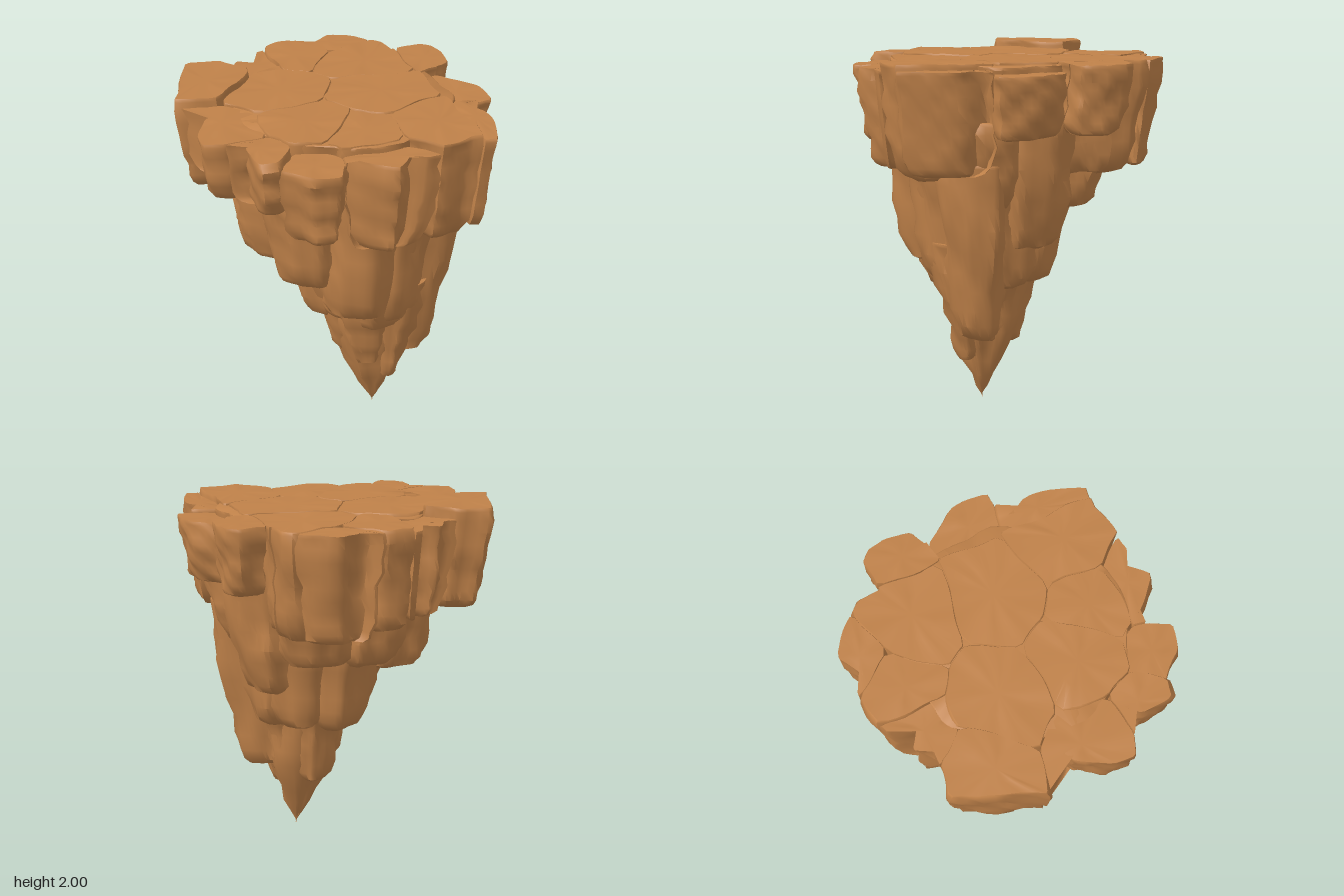
import * as THREE from 'three';
import { mergeVertices, toCreasedNormals } from 'three/addons/utils/BufferGeometryUtils.js';

const stone = new THREE.MeshStandardMaterial({ color: 0xbf8149 });
stone.name = 'brown stone';

// Smooth lumpiness as a function of position
const lump = (x, y, z) =>
  0.012 * Math.sin(9 * x + 5 * y + 2) * Math.sin(8 * z - 6 * y + 1) +
  0.009 * Math.sin(21 * x - 13 * y) * Math.cos(19 * z + 17 * y) +
  0.004 * Math.sin(43 * y + 31 * x - 37 * z);

// Cut the corners of an outline slightly, divide its edges and make them wavy
function refine(points) {
  const cut = [], out = [];
  points.forEach((p, i) => {
    const q = points[(i + 1) % points.length];
    for (const t of [0.1, 0.9]) cut.push([p[0] + (q[0] - p[0]) * t, p[1] + (q[1] - p[1]) * t]);
  });
  cut.forEach((p, i) => {
    const q = cut[(i + 1) % cut.length];
    const n = Math.max(1, Math.round(Math.hypot(q[0] - p[0], q[1] - p[1]) / 0.04));
    for (let k = 0; k < n; k++) {
      const x = p[0] + (q[0] - p[0]) * k / n, z = p[1] + (q[1] - p[1]) * k / n;
      out.push([x + 0.01 * Math.sin(19 * z), z + 0.01 * Math.sin(17 * x)]);
    }
  });
  return out;
}

// A boulder: an outline lofted downward, leaning toward the axis and tapering
function boulder(name, points, top, bottom, { lean = 0.13, taper = 0.08, axis = [0, 0], tip = null } = {}) {
  const ring = refine(points);
  const n = ring.length, h = top - bottom;
  const cx = ring.reduce((s, p) => s + p[0], 0) / n;
  const cz = ring.reduce((s, p) => s + p[1], 0) / n;
  // [depth, scale] from the top centre round to the bottom centre
  const rows = [[0, 0], [0, 0.5], [0, 0.98], [0.005, 0.993], [0.02, 1]];
  for (const [t, s] of [[0.12, 1.01], [0.24, 1.01], [0.36, 1.01], [0.48, 1], [0.6, 1], [0.71, 0.99], [0.82, 0.97], [0.91, 0.92], [0.97, 0.82], [1, 0.6], [1, 0]])
    rows.push([t * h, s * (1 - taper * t ** 1.5)]);
  const pos = [], index = [];
  rows.forEach(([d, s], r) => {
    const y = top - d, f = 1 - lean * d;
    ring.forEach((p, i) => {
      const dx = p[0] - cx, dz = p[1] - cz, len = Math.hypot(dx, dz);
      let x = axis[0] + (cx + dx * s - axis[0]) * f;
      let z = axis[1] + (cz + dz * s - axis[1]) * f;
      if (tip) { // draw the lower rows toward one point
        const k = (d / h) ** 1.9;
        x += (tip[0] - x) * k;
        z += (tip[1] - z) * k;
      }
      const e = s > 0 ? 1.6 * lump(x, y, z) * Math.min(1, d / 0.05) : 0;
      const dip = r > 0 && d < 0.1 ? lump(x * 1.5, 1, z * 1.5) * 0.3 - 0.003 : 0;
      pos.push(x + e * dx / len, y + dip, z + e * dz / len);
      if (r === 0) return;
      const j = (i + 1) % n, a = (r - 1) * n, b = r * n;
      if (r > 1) index.push(a + i, a + j, b + i);
      if (r < rows.length - 1) index.push(a + j, b + j, b + i);
    });
  });
  const geometry = new THREE.BufferGeometry();
  geometry.setAttribute('position', new THREE.Float32BufferAttribute(pos, 3));
  geometry.setIndex(index);
  const mesh = new THREE.Mesh(toCreasedNormals(mergeVertices(geometry, 1e-4), 0.75), stone);
  mesh.name = name;
  return mesh;
}

// Blocky outline around the axis: direction in degrees (90 is front), reach and half width
function sector(angle, reach, half, [ax, az]) {
  const a = angle * Math.PI / 180, c = Math.cos(a), s = Math.sin(a);
  const inner = Math.min(0, reach - 0.4);
  return [[inner, -0.7], [reach * 0.62, -1], [reach * 0.92, -0.75], [reach, -0.1],
    [reach * 0.95, 0.65], [reach * 0.64, 1], [inner, 0.75]]
    .map(([u, v]) => [ax + u * c - v * half * s, az + u * s + v * half * c]);
}

function circle(cx, cz, r, n) {
  return Array.from({ length: n }, (_, i) => {
    const a = i / n * Math.PI * 2;
    return [cx + r * Math.cos(a), cz + r * Math.sin(a)];
  });
}

// The part of an outline that lies nearer to seed a than to seed b
function nearer(outline, a, b) {
  const side = ([x, z]) => Math.hypot(x - b.x, z - b.z) ** 2 - Math.hypot(x - a.x, z - a.z) ** 2;
  const out = [];
  outline.forEach((p, i) => {
    const q = outline[(i + 1) % outline.length], sp = side(p), sq = side(q);
    if (sp >= 0) out.push(p);
    if (sp * sq < 0) {
      const t = sp / (sp - sq);
      out.push([p[0] + (q[0] - p[0]) * t, p[1] + (q[1] - p[1]) * t]);
    }
  });
  return out;
}

// Rim of the flat top
const rim = [[0.9, -0.17], [0.89, -0.07], [0.79, 0.05], [0.68, 0.07], [0.76, 0.3], [0.67, 0.53], [0.48, 0.46],
  [0.5, 0.62], [0.29, 0.91], [0.15, 0.82], [0, 0.81], [-0.13, 0.78], [-0.18, 0.69], [-0.33, 0.74], [-0.42, 0.49],
  [-0.57, 0.6], [-0.7, 0.5], [-0.76, 0.34], [-0.84, 0.28], [-0.8, 0.1], [-0.7, 0.05], [-0.83, 0], [-0.91, -0.1],
  [-0.87, -0.2], [-0.7, -0.34], [-0.62, -0.35], [-0.73, -0.57], [-0.5, -0.76], [-0.37, -0.91], [-0.12, -0.76],
  [-0.04, -0.83], [0.05, -0.73], [0.12, -0.86], [0.39, -0.8], [0.42, -0.72], [0.61, -0.72], [0.75, -0.42],
  [0.69, -0.29], [0.86, -0.25]];

// The top splits into slabs, one around each seed
const slabs = [
  { name: 'backLeftInnerSlab', x: -0.18, z: -0.33, top: 1.965, bottom: 1.4 },
  { name: 'backRightInnerSlab', x: 0.45, z: -0.32, top: 1.96, bottom: 1.32 },
  { name: 'centreSlab', x: 0.2, z: 0.08, top: 1.963, bottom: 1.42 },
  { name: 'leftInnerSlab', x: -0.34, z: 0.12, top: 1.965, bottom: 1.42 },
  { name: 'smallFrontSlab', x: -0.2, z: 0.4, top: 1.957, bottom: 1.4 },
  { name: 'frontSlab', x: 0.13, z: 0.56, top: 1.962, bottom: 1.32 },
  { name: 'frontCornerSlab', x: 0.5, z: 0.72, top: 1.93, bottom: 1.36 },
  { name: 'frontRightSlab', x: 0.78, z: 0.36, top: 1.91, bottom: 1.56 },
  { name: 'rightSlab', x: 0.9, z: -0.12, top: 1.96, bottom: 1.57 },
  { name: 'backCornerSlab', x: 0.52, z: -0.73, top: 1.955, bottom: 1.35 },
  { name: 'backSlab', x: 0.25, z: -0.68, top: 1.962, bottom: 1.38 },
  { name: 'backWedge', x: 0, z: -0.8, top: 1.94, bottom: 1.42 },
  { name: 'raisedBackSlab', x: -0.38, z: -0.72, top: 2, bottom: 1.42 },
  { name: 'leftSlab', x: -0.78, z: -0.18, top: 1.95, bottom: 1.58 },
  { name: 'leftCornerSlab', x: -0.85, z: 0.18, top: 1.95, bottom: 1.6 },
  { name: 'frontLeftSlab', x: -0.68, z: 0.48, top: 1.9, bottom: 1.45 },
  { name: 'frontLedgeSlab', x: -0.3, z: 0.66, top: 1.91, bottom: 1.35 },
];

// Tiers of hanging boulders, each rock as [angle, reach, bottom]
const tiers = [
  { name: 'upperBoulder', axis: [0, 0.02], top: 1.65, half: 0.26, lean: 0.13, taper: 0.15, rocks: [
    [165, 0.63, 1], [120, 0.62, 0.8], [84, 0.61, 0.71], [46, 0.68, 1.15],
    [8, 0.63, 0.91], [-38, 0.68, 1.12], [-84, 0.6, 1.09], [-135, 0.66, 1.02]] },
  { name: 'middleBoulder', axis: [0.06, 0.11], top: 1.42, half: 0.23, lean: 0.18, taper: 0.3, rocks: [
    [52, 0.55, 0.4], [10, 0.45, 0.68], [-35, 0.48, 0.7], [-88, 0.54, 0.68],
    [-145, 0.48, 0.66], [168, 0.4, 0.7], [112, 0.49, 0.66]] },
  { name: 'lowerBoulder', axis: [0.07, 0.17], top: 0.95, half: 0.18, lean: 0.4, taper: 0.4, rocks: [
    [5, 0.31, 0.36], [80, 0.36, 0.25], [145, 0.32, 0.35], [-140, 0.34, 0.4], [-80, 0.37, 0.32]] },
];

export function createModel() {
  const group = new THREE.Group();
  group.name = 'hangingRock';

  for (const slab of slabs) {
    let outline = rim;
    for (const other of slabs) if (other !== slab) outline = nearer(outline, slab, other);
    group.add(boulder(slab.name, outline, slab.top, slab.bottom));
  }

  for (const { name, axis, top, half, lean, taper, rocks } of tiers)
    rocks.forEach(([angle, reach, bottom], i) =>
      group.add(boulder(name + (i + 1), sector(angle, reach, half, axis), top, bottom, { lean, taper, axis })));

  // Solid core that closes the gaps between the boulders
  group.add(boulder('core', circle(0, 0, 0.63, 11), 1.95, 0.7, { lean: 0.4, axis: [0.07, 0.15] }));

  // Pointed tip
  group.add(boulder('tip', circle(0.07, 0.17, 0.26, 7), 0.8, 0, { lean: 0, taper: 0, tip: [0.08, 0.18] }));
  return group;
}
